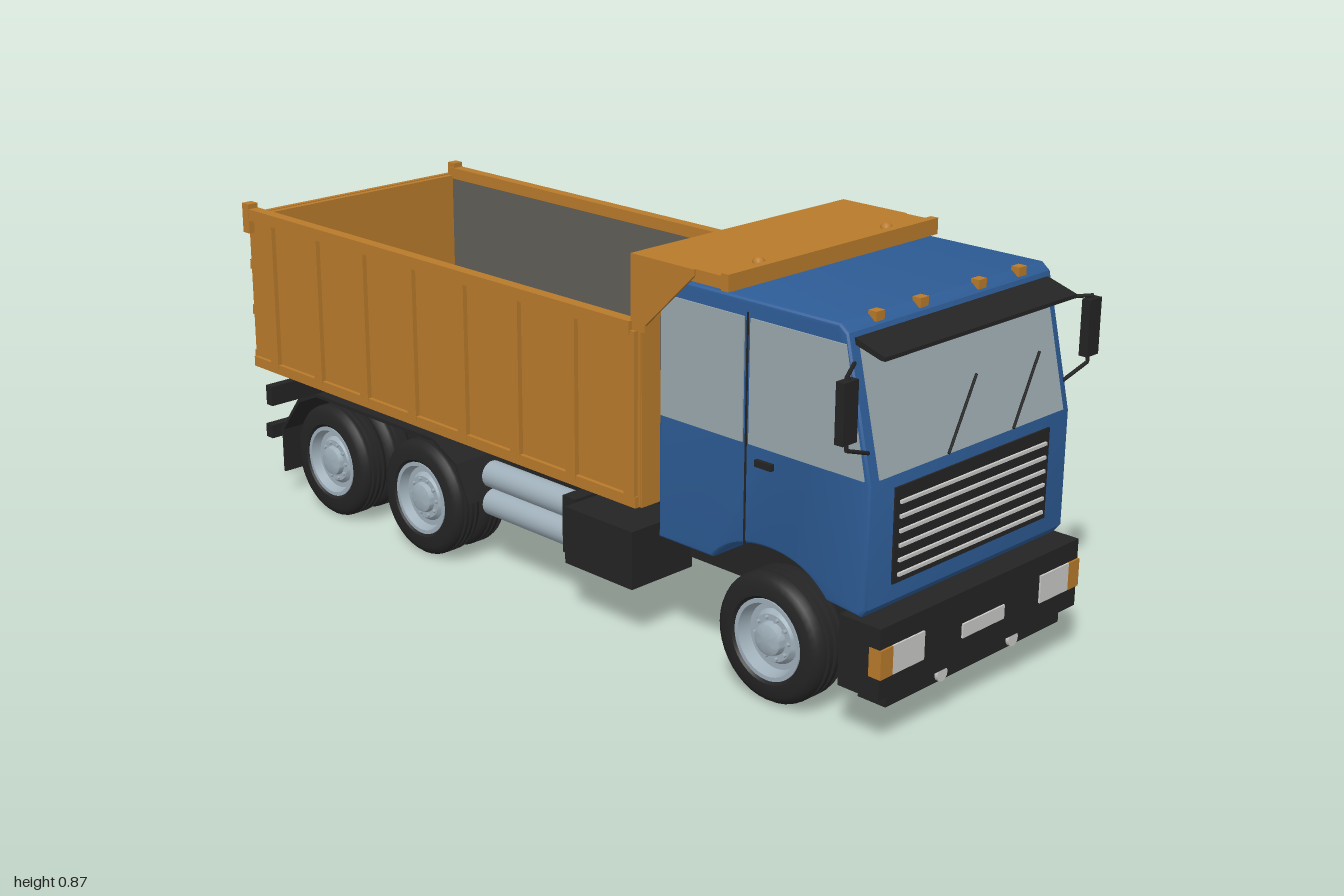
import * as THREE from 'three';
import { toCreasedNormals } from 'three/addons/utils/BufferGeometryUtils.js';

const mat = (name, color) => {
  const m = new THREE.MeshStandardMaterial({ color });
  m.name = name;
  return m;
};

export function createModel() {
  const orange = mat('orange paint', 0xb87a2b);
  const blue = mat('blue paint', 0x2d5c96);
  const black = mat('black', 0x242424);
  const glass = mat('glass', 0x9ba8ad);
  const steel = mat('steel', 0x9fafb9);
  const white = mat('lamp white', 0xc9cac6);
  const grey = mat('bed lining', 0x605e57);
  const truck = new THREE.Group();
  truck.name = 'dumpTruck';

  const add = (name, geo, m, parent = truck) => {
    const mesh = new THREE.Mesh(geo, m);
    mesh.name = name;
    parent.add(mesh);
    return mesh;
  };
  // box given by its extents on each axis
  const box = (name, m, x0, x1, y0, y1, z0, z1, parent) => {
    const b = add(name, new THREE.BoxGeometry(x1 - x0, y1 - y0, z1 - z0), m, parent);
    b.position.set((x0 + x1) / 2, (y0 + y1) / 2, (z0 + z1) / 2);
    return b;
  };
  // the same box on both sides of the truck
  const pair = (name, m, x0, x1, y0, y1, z0, z1) => {
    box(name, m, x0, x1, y0, y1, z0, z1);
    box(name, m, x0, x1, y0, y1, -z1, -z0);
  };
  const rod = (name, m, a, b, r, parent, sides = 8) => {
    const p = new THREE.Vector3(...a), q = new THREE.Vector3(...b);
    const mesh = add(name, new THREE.CylinderGeometry(r, r, p.distanceTo(q), sides), m, parent);
    mesh.position.copy(p).add(q).multiplyScalar(0.5);
    mesh.quaternion.setFromUnitVectors(new THREE.Vector3(0, 1, 0), q.sub(p).normalize());
    return mesh;
  };
  const polygon = (pts) => new THREE.Shape(pts.map(([x, y]) => new THREE.Vector2(x, y)));
  const slab = (name, m, pts, z0, z1) => {
    const geo = new THREE.ExtrudeGeometry(polygon(pts), { depth: z1 - z0, bevelEnabled: false });
    add(name, geo, m).position.z = z0;
  };
  const slabPair = (name, m, pts, z0, z1) => {
    slab(name, m, pts, z0, z1);
    slab(name, m, pts, -z1, -z0);
  };

  // Cab shell with the wheel arch cut through
  const cab = new THREE.Shape();
  cab.moveTo(0.405, 0.27);
  cab.lineTo(0.555, 0.27);
  cab.quadraticCurveTo(0.61, 0.333, 0.705, 0.333);
  cab.quadraticCurveTo(0.8, 0.333, 0.855, 0.27);
  [[0.94, 0.262], [0.955, 0.28], [0.955, 0.53], [0.89, 0.81], [0.87, 0.826], [0.425, 0.826], [0.405, 0.8]]
    .forEach(([x, y]) => cab.lineTo(x, y));
  const cabGeo = new THREE.ExtrudeGeometry(cab, {
    depth: 0.61, bevelThickness: 0.01, bevelSize: 0.01, bevelOffset: -0.01, bevelSegments: 3, curveSegments: 14,
  });
  add('cab', toCreasedNormals(cabGeo, 0.5), blue).position.z = -0.305;

  // Side windows, door seams and handles
  slabPair('rearSideWindow', glass, [[0.415, 0.537], [0.637, 0.537], [0.637, 0.79], [0.43, 0.79], [0.415, 0.77]], 0.312, 0.318);
  slabPair('doorWindow', glass, [[0.653, 0.537], [0.942, 0.537], [0.888, 0.79], [0.653, 0.79]], 0.312, 0.318);
  pair('doorSeam', black, 0.643, 0.647, 0.325, 0.8, 0.312, 0.317);
  pair('doorHandle', black, 0.675, 0.718, 0.498, 0.512, 0.312, 0.324);

  // Sloping windscreen with visor and wipers
  const screen = new THREE.Group();
  screen.name = 'windscreen';
  screen.position.set(0.955, 0.53, 0);
  screen.rotation.z = Math.atan2(0.065, 0.28);
  truck.add(screen);
  box('windscreenGlass', glass, -0.003, 0.004, 0.006, 0.255, -0.288, 0.288, screen);
  for (const z of [0.09, -0.115]) rod('wiper', black, [0.008, 0.008, z], [0.008, 0.138, z - 0.115], 0.003, screen, 6);
  slab('sunVisor', black, [[0.885, 0.8], [0.895, 0.8], [0.965, 0.778], [0.965, 0.77], [0.955, 0.77], [0.885, 0.79]], -0.298, 0.298);
  for (const z of [-0.22, -0.09, 0.09, 0.22]) box('roofMarker', orange, 0.868, 0.888, 0.815, 0.834, z - 0.012, z + 0.012);

  // Grille
  box('grille', black, 0.95, 0.959, 0.315, 0.51, -0.243, 0.243);
  for (let i = 0; i < 6; i++) {
    const y = 0.332 + i * 0.0295;
    box('grilleBar', white, 0.957, 0.964, y - 0.0035, y + 0.0035, -0.23, 0.23);
  }

  // Bumper and lamps
  box('bumper', black, 0.895, 0.995, 0.11, 0.258, -0.318, 0.318);
  box('bumperSkirt', black, 0.915, 0.983, 0.08, 0.11, -0.28, 0.28);
  pair('headlight', white, 0.992, 0.999, 0.155, 0.215, 0.187, 0.283);
  pair('turnSignal', orange, 0.97, 0.9995, 0.155, 0.215, 0.283, 0.3195);
  box('numberPlate', white, 0.993, 0.999, 0.16, 0.19, -0.067, 0.067);
  for (const z of [-0.115, 0.115]) rod('fogLamp', white, [0.97, 0.097, z], [0.99, 0.097, z], 0.016, truck, 18);

  // Mirrors on bent arms
  for (const s of [-1, 1]) {
    box('mirror', black, 0.937, 0.957, 0.63, 0.75, s * 0.38 - 0.02, s * 0.38 + 0.02);
    rod('mirrorUpperArm', black, [0.9, 0.755, s * 0.305], [0.947, 0.755, s * 0.383], 0.004);
    rod('mirrorLowerArm', black, [0.94, 0.59, s * 0.305], [0.947, 0.615, s * 0.378], 0.004);
    rod('mirrorStem', black, [0.947, 0.615, s * 0.378], [0.947, 0.755, s * 0.378], 0.004);
  }

  // Dump bed
  box('bedFloor', orange, -0.98, 0.34, 0.322, 0.342, -0.318, 0.318);
  box('bedLiningFloor', grey, -0.97, 0.336, 0.342, 0.347, -0.31, 0.31);
  pair('bedSide', orange, -0.98, 0.36, 0.325, 0.7, 0.31, 0.32);
  pair('bedLiningSide', grey, -0.97, 0.336, 0.345, 0.7, 0.306, 0.3105);
  pair('topRail', orange, -0.98, 0.34, 0.692, 0.72, 0.306, 0.334);
  pair('bottomRail', orange, -0.98, 0.355, 0.322, 0.346, 0.315, 0.33);
  for (let i = 0; i < 8; i++) {
    const x = -0.895 + i * 0.176;
    pair('sideRib', orange, x - 0.015, x + 0.015, 0.335, 0.7, 0.315, 0.331);
  }
  box('headboard', orange, 0.337, 0.362, 0.322, 0.855, -0.318, 0.318);
  box('headboardLining', grey, 0.333, 0.338, 0.345, 0.84, -0.306, 0.306);

  // Canopy over the cab
  box('canopy', orange, 0.335, 0.595, 0.832, 0.858, -0.319, 0.319);
  box('canopyLip', orange, 0.578, 0.597, 0.829, 0.864, -0.32, 0.32);
  slabPair('canopyGusset', orange, [[0.335, 0.7], [0.375, 0.7], [0.375, 0.715], [0.51, 0.845], [0.51, 0.858], [0.335, 0.858]], 0.317, 0.324);
  for (const z of [-0.195, 0.195]) {
    const dome = add('canopyLamp', new THREE.SphereGeometry(0.014, 14, 8), orange);
    dome.position.set(0.56, 0.856, z);
  }

  // Tailgate with a grid of stiffeners
  box('tailgate', orange, -0.988, -0.97, 0.33, 0.7, -0.315, 0.315);
  for (const y of [0.345, 0.46, 0.575, 0.69]) box('tailgateBar', orange, -0.998, -0.985, y - 0.012, y + 0.012, -0.315, 0.315);
  for (const z of [-0.3, -0.15, 0, 0.15, 0.3]) box('tailgatePost', orange, -0.997, -0.985, 0.335, 0.7, z - 0.012, z + 0.012);
  pair('tailgateHinge', orange, -0.99, -0.965, 0.66, 0.732, 0.308, 0.335);

  // Frame under the bed
  pair('bedRunner', black, -0.92, 0.33, 0.262, 0.323, 0.11, 0.17);
  pair('chassisRail', black, -0.965, 0.92, 0.15, 0.265, 0.1, 0.135);
  for (const x of [-0.93, -0.54, -0.15, 0.1, 0.4, 0.86]) box('crossMember', black, x - 0.025, x + 0.025, 0.16, 0.25, -0.11, 0.11);

  // Wheels: tyre with tread grooves, dished rim, hub and nuts
  const makeWheel = (x, z, width, side) => {
    const h = width / 2, wheel = new THREE.Group();
    wheel.name = 'wheel';
    wheel.position.set(x, 0.1375, z);
    wheel.rotation.x = side * Math.PI / 2;
    truck.add(wheel);
    const tyre = [[0.084, -h * 0.8], [0.092, -h], [0.118, -h], [0.13, -h * 0.85], [0.136, -h * 0.65]];
    for (const g of [-0.4, 0, 0.4]) {
      tyre.push([0.1375, h * (g - 0.1)], [0.132, h * (g - 0.06)], [0.132, h * (g + 0.06)], [0.1375, h * (g + 0.1)]);
    }
    tyre.push([0.136, h * 0.65], [0.13, h * 0.85], [0.118, h], [0.092, h], [0.084, h * 0.8], [0.084, -h * 0.8]);
    const lathe = (pts) => toCreasedNormals(
      new THREE.LatheGeometry(pts.map(([r, y]) => new THREE.Vector2(r, y)), 40), 0.6);
    add('tyre', lathe(tyre), black, wheel);
    add('rim', lathe([[0, 0], [0.06, 0], [0.068, -h * 0.9], [0.086, -h * 0.92], [0.086, h * 0.92], [0.077, h * 0.92],
      [0.07, h * 0.35], [0.058, h * 0.35], [0.05, h * 0.6], [0.036, h * 0.6], [0.033, h * 0.9], [0.022, h], [0, h]]), steel, wheel);
    for (let i = 0; i < 10; i++) {
      const a = i * Math.PI / 5, c = 0.0435 * Math.cos(a), d = 0.0435 * Math.sin(a);
      rod('wheelNut', steel, [c, h * 0.55, d], [c, h * 0.75, d], 0.0045, wheel, 6);
    }
  };
  for (const s of [-1, 1]) {
    makeWheel(0.705, s * 0.265, 0.1, s);
    for (const x of [-0.71, -0.37]) {
      makeWheel(x, s * 0.277, 0.075, s);
      makeWheel(x, s * 0.198, 0.075, s);
    }
  }

  // Axles, differentials and drive shaft
  for (const x of [-0.71, -0.37, 0.705]) rod('axle', black, [x, 0.1375, -0.25], [x, 0.1375, 0.25], 0.024, truck, 16);
  for (const x of [-0.71, -0.37]) add('differential', new THREE.SphereGeometry(0.065, 20, 14), black).position.set(x, 0.1375, 0);
  rod('driveShaft', black, [-0.71, 0.15, 0], [0.5, 0.19, 0], 0.018, truck, 12);
  box('engine', black, 0.45, 0.88, 0.16, 0.27, -0.09, 0.09);

  // Rear mudguards as a bent strip
  slabPair('rearMudguard', black, [[-0.908, 0.06], [-0.902, 0.06], [-0.902, 0.17], [-0.83, 0.258], [-0.76, 0.288], [-0.32, 0.288],
    [-0.245, 0.25], [-0.203, 0.17], [-0.197, 0.17], [-0.24, 0.255], [-0.32, 0.296], [-0.76, 0.296], [-0.835, 0.265], [-0.908, 0.172]], 0.16, 0.31);

  // Twin air tanks and battery box on one side
  for (const y of [0.165, 0.232]) rod('airTank', steel, [-0.185, y, 0.25], [0.08, y, 0.25], 0.031, truck, 24);
  box('tankBracket', black, 0.08, 0.12, 0.13, 0.262, 0.12, 0.28);
  box('batteryBox', black, 0.12, 0.325, 0.125, 0.255, 0.13, 0.31);

  // Fuel tank with straps on the other side
  rod('fuelTank', steel, [0.03, 0.195, -0.225], [0.33, 0.195, -0.225], 0.082, truck, 32);
  for (const x of [0.1, 0.25]) rod('tankStrap', black, [x - 0.007, 0.195, -0.225], [x + 0.007, 0.195, -0.225], 0.0845, truck, 32);

  // Rear underrun guard and lamps
  box('underrunBar', black, -0.99, -0.965, 0.128, 0.162, -0.3, 0.3);
  pair('underrunPost', black, -0.965, -0.945, 0.13, 0.27, 0.1, 0.13);
  pair('lampBracket', black, -0.968, -0.945, 0.22, 0.27, 0.13, 0.31);
  pair('rearLamp', orange, -0.974, -0.967, 0.23, 0.262, 0.24, 0.3);
  pair('reverseLamp', white, -0.974, -0.967, 0.23, 0.262, 0.18, 0.235);
  rod('towCoupling', steel, [-0.98, 0.2, 0], [-0.92, 0.2, 0], 0.02, truck, 14);

  return truck;
}
